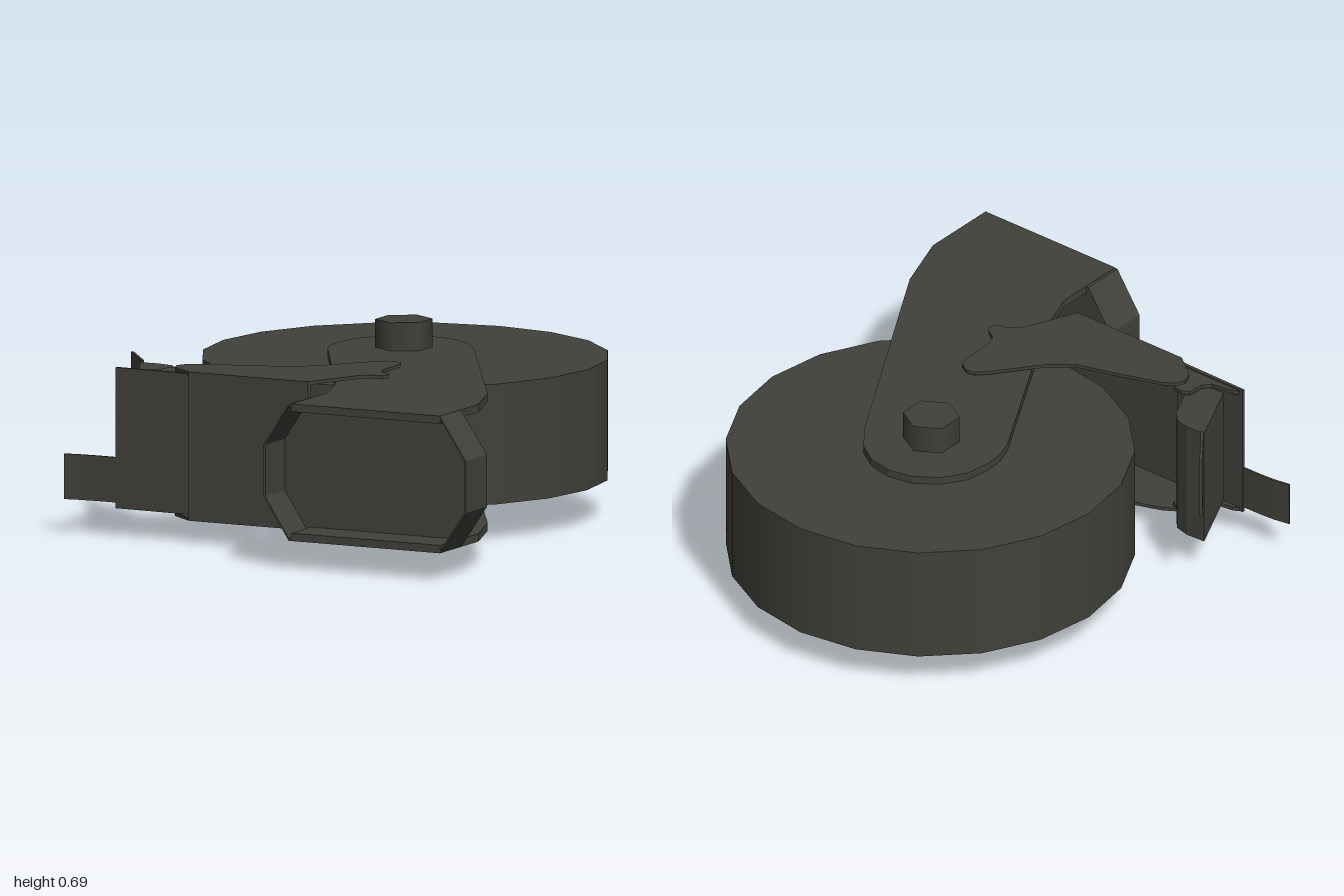
import * as THREE from 'three';

const metal = new THREE.MeshStandardMaterial({ color: 0x41413b });
metal.name = 'dark grey';

const toShape = (pts) => new THREE.Shape(pts.map(([a, b]) => new THREE.Vector2(a, b)));

function add(group, name, geometry) {
  const mesh = new THREE.Mesh(geometry, metal);
  mesh.name = name;
  group.add(mesh);
  return mesh;
}

// Plan outline given as [x, z], raised from y0 to y1
function slab(plan, y0, y1) {
  const geo = new THREE.ExtrudeGeometry(toShape(plan.map(([x, z]) => [x, -z])), {
    depth: y1 - y0, bevelEnabled: false,
  });
  geo.rotateX(-Math.PI / 2);
  geo.translate(0, y0, 0);
  return geo;
}

// Bent sheet following a plan path, with thickness t to one side
function sheet(path, t, y0, y1) {
  const back = path.map(([x, z], i) => {
    const a = path[Math.max(i - 1, 0)], b = path[Math.min(i + 1, path.length - 1)];
    const dx = b[0] - a[0], dz = b[1] - a[1], l = Math.hypot(dx, dz);
    return [x + (dz / l) * t, z - (dx / l) * t];
  });
  return slab([...path, ...back.reverse()], y0, y1);
}

export function createModel() {
  const model = new THREE.Group();
  model.name = 'casterWheel';

  // Wheel and hexagonal axle
  const wheel = new THREE.CylinderGeometry(0.715, 0.715, 0.425, 20);
  add(model, 'wheel', wheel).position.set(-0.03, 0.345, -0.285);
  const axle = new THREE.CylinderGeometry(0.1, 0.1, 0.685, 6);
  add(model, 'axle', axle).position.set(-0.035, 0.3425, -0.285);

  // Fork: two mirrored plates
  const forkPlan = [
    [0.19, 1], [0.19, 0.72], [0.12, 0.53], [-0.26, -0.14], [-0.285, -0.21], [-0.29, -0.29],
    [-0.275, -0.38], [-0.225, -0.46], [-0.14, -0.52], [-0.05, -0.538], [0.04, -0.522],
    [0.12, -0.47], [0.19, -0.38], [0.695, 0.485], [0.775, 0.71], [0.775, 1],
  ];
  add(model, 'upperForkPlate', slab(forkPlan, 0.557, 0.585));
  add(model, 'lowerForkPlate', slab(forkPlan, 0.1, 0.128));

  // Open octagonal collar with a closed floor
  const octagon = (inset) => {
    const l = 0.08 + inset, r = 0.877 - inset, b = 0.1 + inset, t = 0.583 - inset;
    return [[0.18, b], [0.775, b], [r, 0.25], [r, 0.433], [0.775, t], [0.18, t], [l, 0.433], [l, 0.25]];
  };
  const rim = toShape(octagon(0));
  rim.holes.push(new THREE.Path(octagon(0.008).map(([x, y]) => new THREE.Vector2(x, y))));
  const rimGeo = new THREE.ExtrudeGeometry(rim, { depth: 0.16, bevelEnabled: false });
  add(model, 'collarWall', rimGeo.translate(0, 0, 0.84));
  const floorGeo = new THREE.ExtrudeGeometry(toShape(octagon(0.002)), { depth: 0.01, bevelEnabled: false });
  add(model, 'collarFloor', floorGeo.translate(0, 0, 0.841));

  // Brake housing: two curved cheeks joined by a front sheet
  const brake = new THREE.Group();
  brake.name = 'brake';
  model.add(brake);
  const cheekPlan = [
    [-0.39, 0.66], [-0.48, 0.59], [-0.495, 0.55], [-0.48, 0.515], [-0.44, 0.49], [-0.28, 0.435],
    [-0.13, 0.39], [-0.05, 0.32], [0.07, 0.165], [0.105, 0.127], [0.14, 0.12], [0.175, 0.14],
    [0.188, 0.18], [0.19, 0.3], [0.205, 0.345], [0.25, 0.375], [0.26, 0.395], [0.245, 0.42],
    [0.2, 0.432], [0.165, 0.47], [0.08, 0.66],
  ];
  add(brake, 'upperBrakeCheek', slab(cheekPlan, 0.594, 0.606));
  add(brake, 'lowerBrakeCheek', slab(cheekPlan, 0.08, 0.092));
  add(brake, 'brakeFront', slab([[-0.39, 0.66], [0.08, 0.66], [0.085, 0.648], [-0.39, 0.648]], 0.09, 0.596));

  // Locking lever with end flanges and a foot tab
  add(brake, 'lockPlate', slab([[-0.685, 0.645], [-0.39, 0.65], [-0.39, 0.636], [-0.685, 0.634]], 0.1, 0.598));
  const flangePlan = [
    [-0.68, 0.64], [-0.655, 0.622], [-0.57, 0.61], [-0.545, 0.58], [-0.54, 0.52],
    [-0.51, 0.505], [-0.47, 0.515], [-0.46, 0.59], [-0.39, 0.645],
  ];
  add(brake, 'upperLockFlange', slab(flangePlan, 0.578, 0.592));
  add(brake, 'lowerLockFlange', slab(flangePlan, 0.1, 0.114));
  add(brake, 'lockTab', sheet([[-0.68, 0.645], [-0.76, 0.645], [-0.82, 0.649], [-0.88, 0.659]], -0.008, 0.12, 0.28));

  // Release pedal: rounded body and narrow angled flap
  const bodyPlan = [
    [-0.615, 0.615], [-0.735, 0.362], [-0.66, 0.358], [-0.605, 0.372],
    [-0.57, 0.41], [-0.5, 0.56], [-0.53, 0.61],
  ];
  add(brake, 'pedalBody', slab(bodyPlan, 0.13, 0.572));
  add(brake, 'pedalFlap', sheet([[-0.85, 0.212], [-0.73, 0.366]], 0.01, 0.35, 0.58));

  return model;
}
